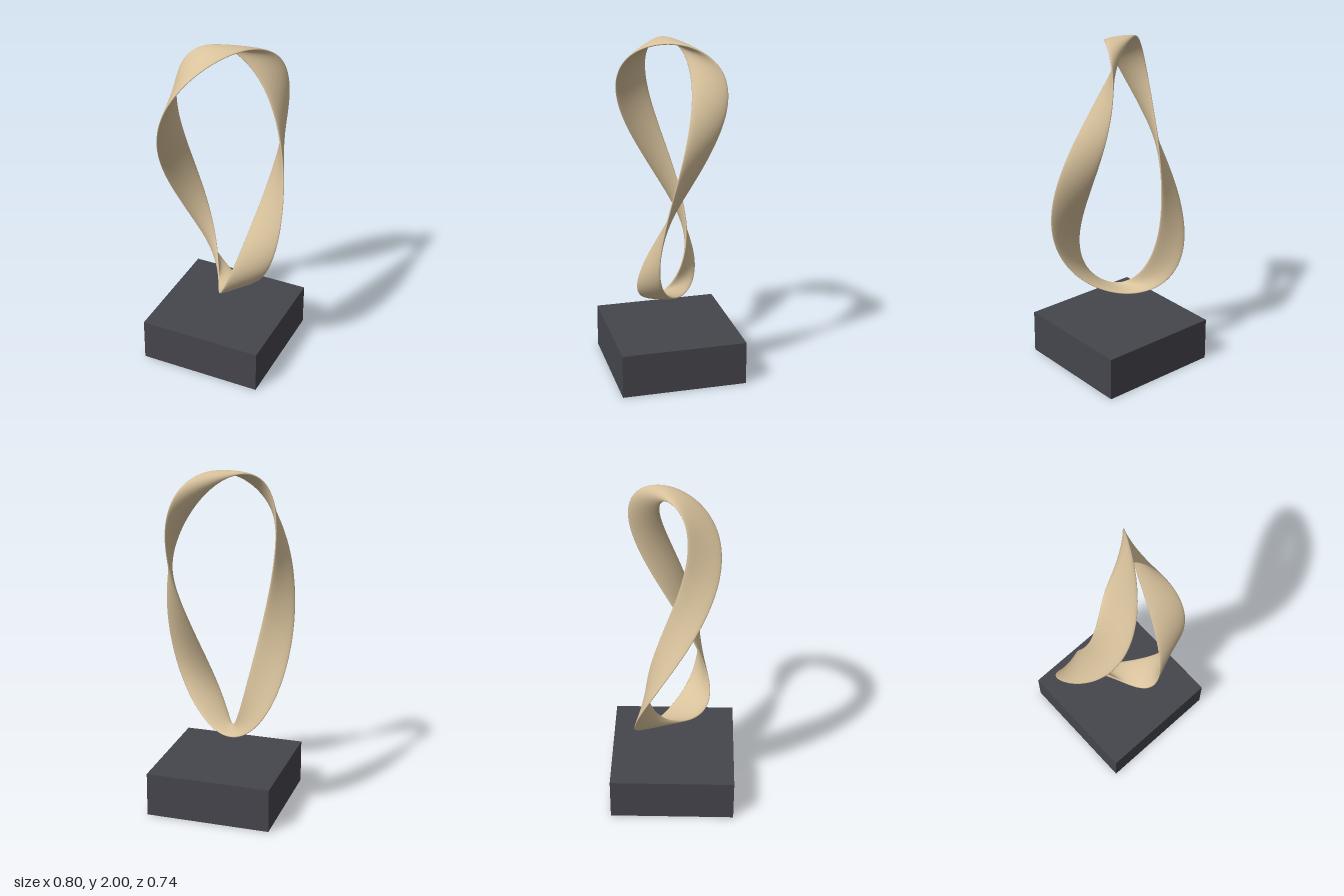
import * as THREE from 'three';

const ribbonMaterial = new THREE.MeshStandardMaterial({ color: 0xd8c29c });
ribbonMaterial.name = 'warm sand';
const plinthMaterial = new THREE.MeshStandardMaterial({ color: 0x45454d });
plinthMaterial.name = 'dark slate';

// Centre line of the loop: an ellipse from the front, a figure eight from the side
const centre = (t) => new THREE.Vector3(-0.32 * Math.sin(t), 1.22 + 0.767 * Math.cos(t), 0.17 * Math.sin(2 * t));
const tangent = (t) => new THREE.Vector3(-0.32 * Math.cos(t), -0.767 * Math.sin(t), 0.34 * Math.cos(2 * t)).normalize();

// Flat oval section swept round the loop with three half twists
function ribbonGeometry(steps = 320, sides = 24, halfWidth = 0.1, halfThickness = 0.013) {
  const positions = [];
  const indices = [];
  for (let i = 0; i < steps; i++) {
    const t = (i / steps) * Math.PI * 2;
    const across = new THREE.Vector3(Math.cos(1.5 * t), 0, Math.sin(1.5 * t));
    const thick = tangent(t).cross(across).normalize();
    for (let j = 0; j < sides; j++) {
      const a = (j / sides) * Math.PI * 2;
      const p = centre(t)
        .addScaledVector(across, halfWidth * Math.cos(a))
        .addScaledVector(thick, halfThickness * Math.sin(a));
      positions.push(p.x, p.y, p.z);
    }
  }
  // The last ring joins the first half a turn round, closing the twist
  const id = (i, j) => (i < steps ? i * sides + (j % sides) : (j + sides / 2) % sides);
  for (let i = 0; i < steps; i++) {
    for (let j = 0; j < sides; j++) {
      const a = id(i, j), b = id(i, j + 1), c = id(i + 1, j), d = id(i + 1, j + 1);
      indices.push(a, b, c, b, d, c);
    }
  }
  const geometry = new THREE.BufferGeometry();
  geometry.setAttribute('position', new THREE.Float32BufferAttribute(positions, 3));
  geometry.setIndex(indices);
  geometry.computeVertexNormals();
  return geometry;
}

export function createModel() {
  const model = new THREE.Group();
  model.name = 'twistedLoopSculpture';

  const ribbon = new THREE.Mesh(ribbonGeometry(), ribbonMaterial);
  ribbon.name = 'twistedRibbon';

  const plinth = new THREE.Mesh(new THREE.BoxGeometry(0.74, 0.26, 0.74), plinthMaterial);
  plinth.name = 'plinth';
  plinth.position.y = 0.13;

  model.add(ribbon, plinth);
  return model;
}
